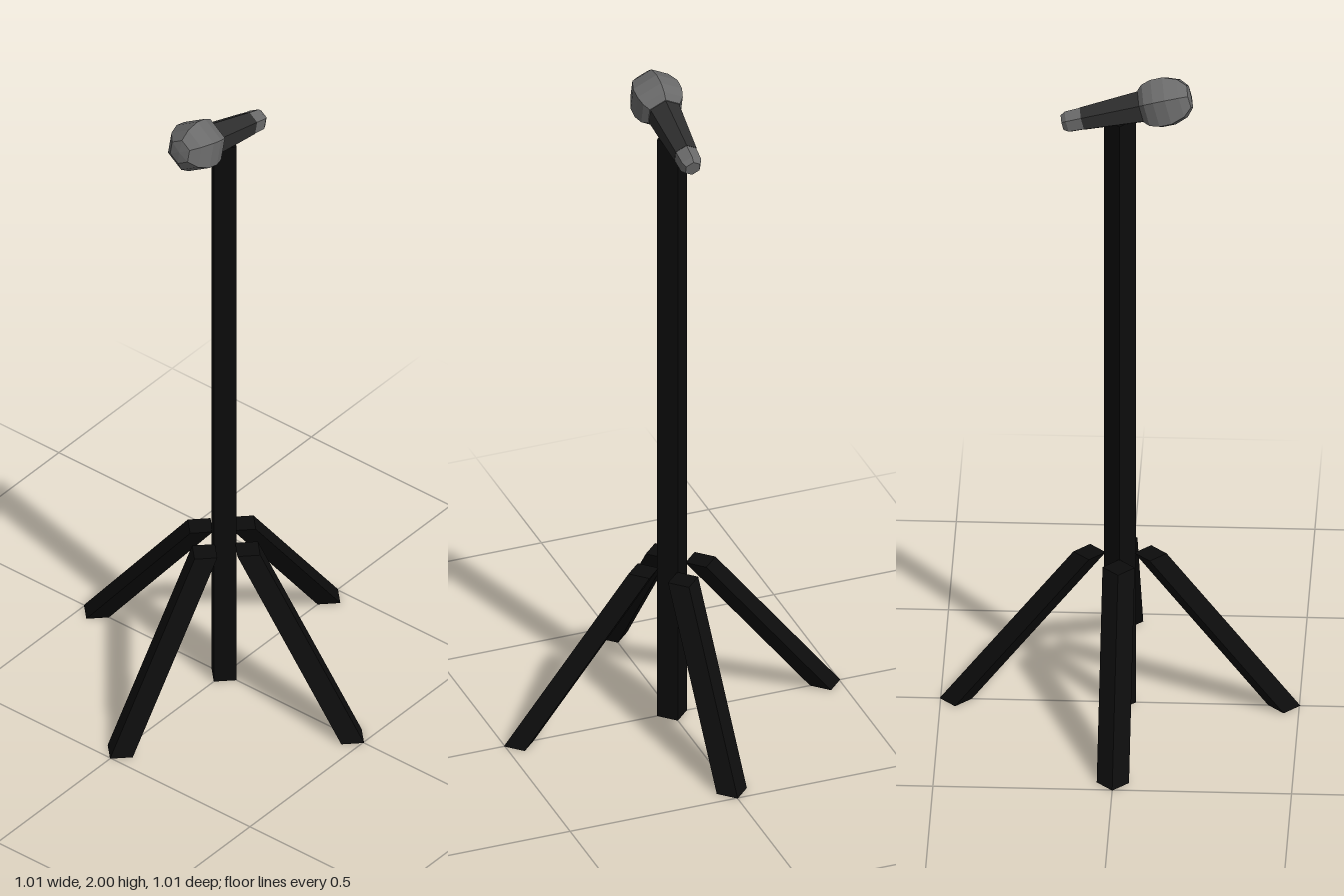
import * as THREE from 'three';

const flat = (name, color) => new THREE.MeshStandardMaterial({ name, color, flatShading: true });

export function createModel() {
  const black = flat('standBlack', 0x0c0c0c);
  const charcoal = flat('handleCharcoal', 0x2e2e2e);
  const grey = flat('grilleGrey', 0x6a6a6a);

  const model = new THREE.Group();
  model.name = 'microphoneOnStand';
  const add = (parent, name, geometry, material) => {
    const mesh = new THREE.Mesh(geometry, material);
    mesh.name = name;
    parent.add(mesh);
    return mesh;
  };

  // Four-sided pole, corners pointing along x and z
  const R = 0.045, poleTop = 1.865;
  add(model, 'pole', new THREE.CylinderGeometry(R, R, poleTop, 4).translate(0, poleTop / 2, 0), black);

  // Four legs: the same prism sheared outwards, so its ends stay level
  const legHeight = 0.478, legIn = 0.085, legOut = 0.458;
  for (let i = 0; i < 4; i++) {
    const leg = new THREE.CylinderGeometry(R, R, legHeight, 4).translate(0, legHeight / 2, 0);
    const p = leg.attributes.position;
    for (let v = 0; v < p.count; v++) {
      p.setX(v, p.getX(v) + THREE.MathUtils.lerp(legOut, legIn, p.getY(v) / legHeight));
    }
    leg.rotateY(i * Math.PI / 2);
    add(model, 'leg' + (i + 1), leg, black);
  }

  // Microphone: six-sided turned parts along a tilted axis, measured from the head's centre
  const mic = new THREE.Group();
  mic.name = 'microphone';
  mic.position.set(-0.125, 1.923, 0);
  mic.rotation.z = THREE.MathUtils.degToRad(-14.5);
  model.add(mic);

  const turned = (profile) => new THREE.LatheGeometry(
    profile.map(([r, s]) => new THREE.Vector2(r, s)), 6, Math.PI / 6).rotateZ(-Math.PI / 2);

  add(mic, 'grilleHead', turned([
    [0, -0.076], [0.036, -0.072], [0.062, -0.05], [0.077, -0.012],
    [0.077, 0.022], [0.068, 0.05], [0.052, 0.066], [0, 0.066],
  ]), grey);
  add(mic, 'handle', turned([[0, 0.06], [0.05, 0.06], [0.036, 0.236], [0, 0.236]]), charcoal);
  add(mic, 'endCap', turned([[0, 0.235], [0.035, 0.235], [0.033, 0.28], [0.024, 0.294], [0, 0.294]]), grey);

  return model;
}
